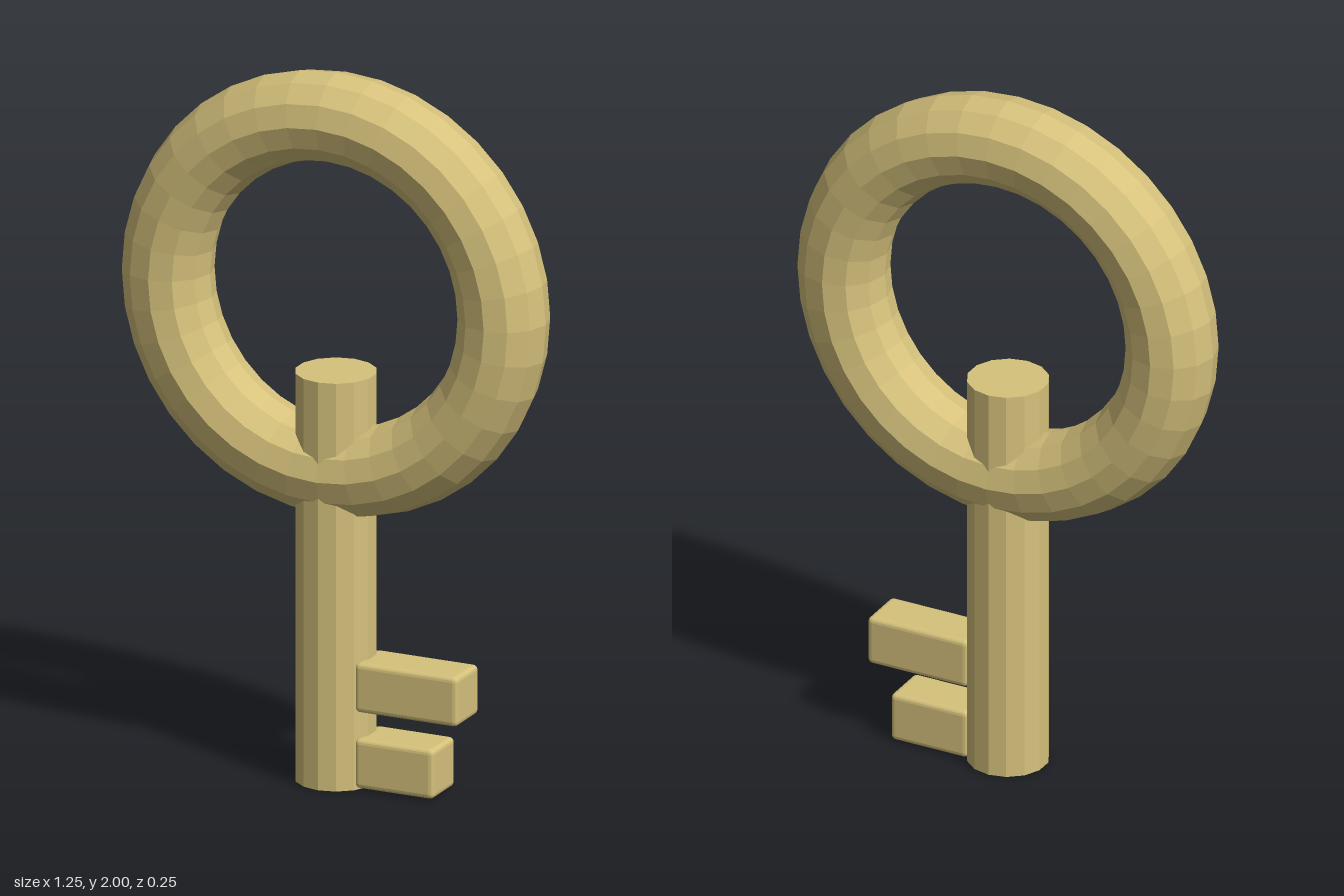
import * as THREE from 'three';
import { RoundedBoxGeometry } from 'three/addons/geometries/RoundedBoxGeometry.js';

export function createModel() {
  const key = new THREE.Group();
  key.name = 'key';
  const brass = new THREE.MeshStandardMaterial({ color: 0xd6c27c });
  brass.name = 'brass';
  brass.flatShading = true;

  const add = (name, geometry, x, y) => {
    const mesh = new THREE.Mesh(geometry, brass);
    mesh.name = name;
    mesh.position.set(x, y, 0);
    key.add(mesh);
  };

  // Ring handle, standing upright in the front plane
  add('bow', new THREE.TorusGeometry(0.5, 0.125, 12, 36), 0, 1.375);

  // Round shaft, running through the bottom of the ring
  const shaftHeight = 1.155;
  add('shaft', new THREE.CylinderGeometry(0.112, 0.112, shaftHeight, 14), 0, shaftHeight / 2);

  // Two teeth with softened edges: [name, outer x, centre y]
  const inner = 0.087;
  for (const [name, outer, y] of [['upperTooth', 0.393, 0.29], ['lowerTooth', 0.322, 0.075]]) {
    const length = outer - inner;
    add(name, new RoundedBoxGeometry(length, 0.14, 0.14, 2, 0.014), (inner + outer) / 2, y);
  }
  return key;
}
